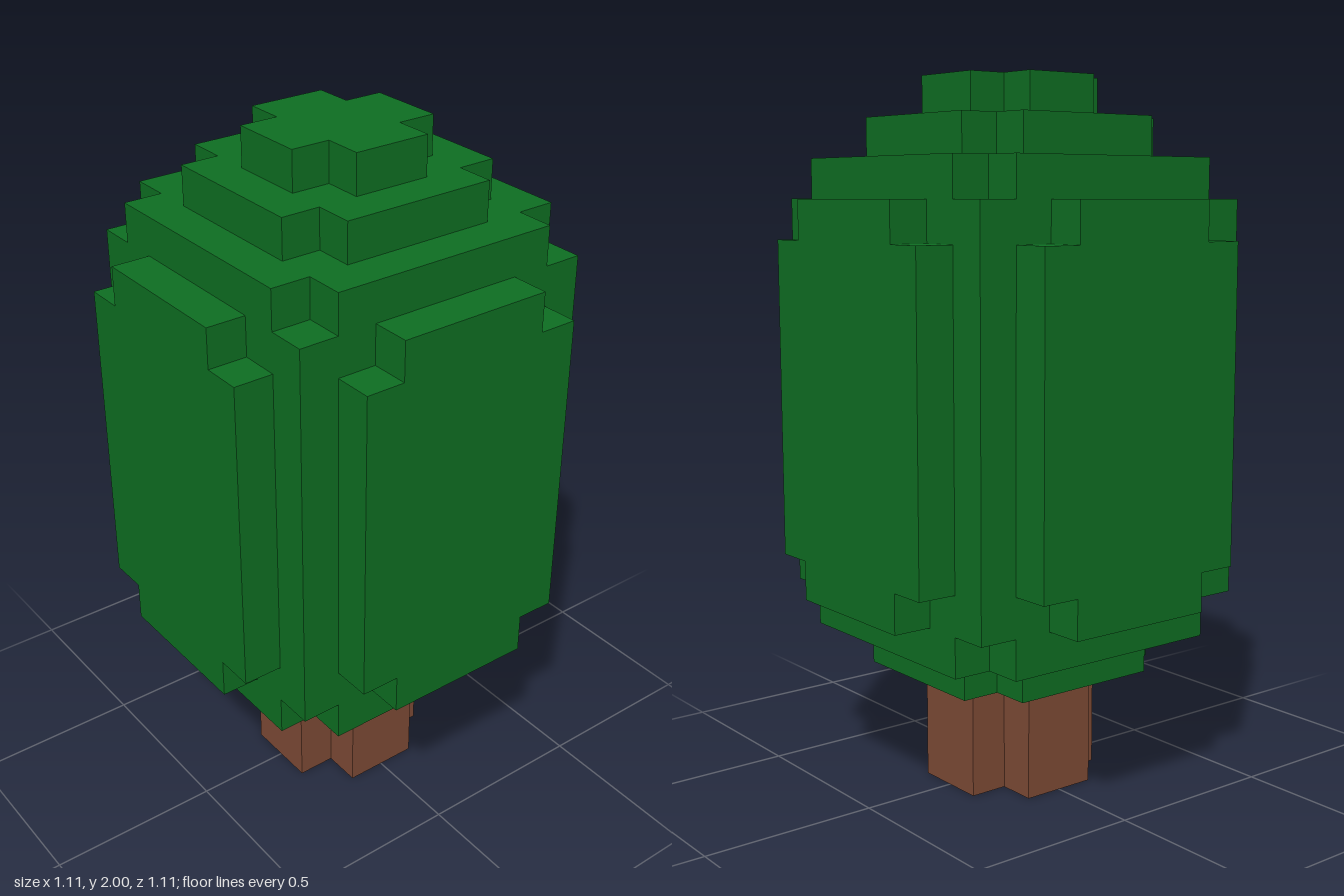
import * as THREE from 'three';

const U = 1 / 9; // size of one block

// Stepped-corner outline: union of (a x b) and (c x d) half-size rectangles, a > c and d > b
function steppedShape(a, b, c, d) {
  const quarter = [[a, -b], [a, b], [c, b], [c, d], [-c, d], [-c, b],
    [-a, b], [-a, -b], [-c, -b], [-c, -d], [c, -d], [c, -b]];
  return new THREE.Shape(quarter.map(([x, y]) => new THREE.Vector2(x * U, y * U)));
}

function extrude(shape, depth) {
  return new THREE.ExtrudeGeometry(shape, { depth: depth * U, bevelEnabled: false });
}

export function createModel() {
  const leafGreen = new THREE.MeshStandardMaterial({ color: 0x0e6e22 });
  leafGreen.name = 'leafGreen';
  const barkBrown = new THREE.MeshStandardMaterial({ color: 0x7d4a35 });
  barkBrown.name = 'barkBrown';

  const tree = new THREE.Group();
  tree.name = 'tree';

  function add(name, geometry, material, parent = tree) {
    const mesh = new THREE.Mesh(geometry, material);
    mesh.name = name;
    parent.add(mesh);
    return mesh;
  }

  // Horizontal layer with notched corners, reaching `half` blocks from the axis
  function layer(name, half, y0, height, material, parent) {
    const geometry = extrude(steppedShape(half, half - 1, half - 1, half), height);
    geometry.rotateX(-Math.PI / 2);
    add(name, geometry, material, parent).position.y = y0 * U;
  }

  // Trunk
  layer('trunk', 2, 0, 3, barkBrown);

  // Foliage tiers below and above the core
  const foliage = new THREE.Group();
  foliage.name = 'foliage';
  tree.add(foliage);
  layer('lowestTier', 3, 3, 1, leafGreen, foliage);
  layer('lowerTier', 4, 4, 1, leafGreen, foliage);
  layer('upperTier', 4, 15, 1, leafGreen, foliage);
  layer('highTier', 3, 16, 1, leafGreen, foliage);
  layer('crown', 2, 17, 1, leafGreen, foliage);

  // Square core
  add('foliageCore', new THREE.BoxGeometry(8 * U, 10 * U, 8 * U), leafGreen, foliage)
    .position.y = 10 * U;

  // Raised panel on each of the four sides
  ['front', 'left', 'back', 'right'].forEach((side, i) => {
    const geometry = extrude(steppedShape(3, 4, 2, 5), 1);
    geometry.translate(0, 10 * U, 4 * U);
    add(side + 'Panel', geometry, leafGreen, foliage).rotation.y = i * Math.PI / 2;
  });

  return tree;
}
